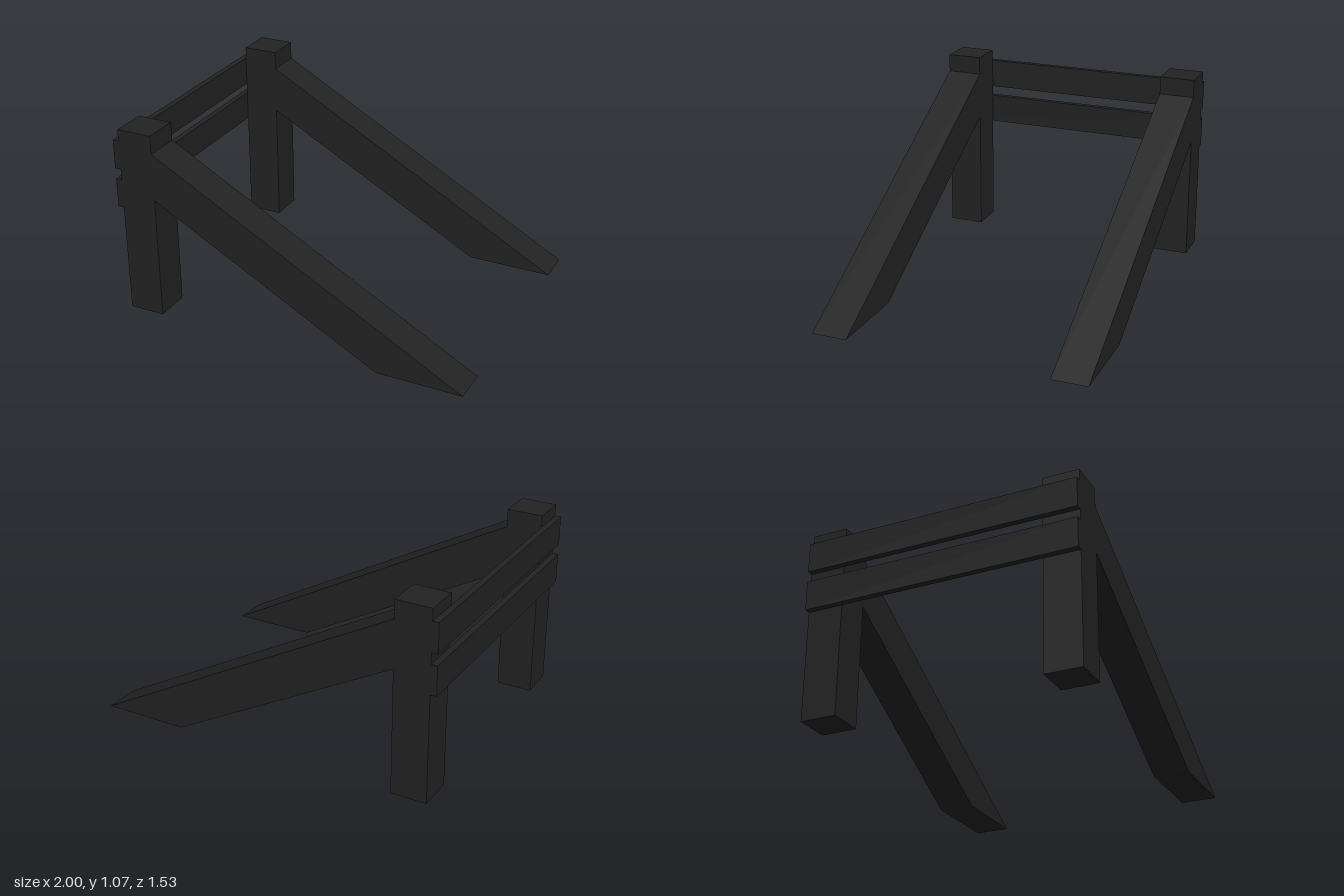
import * as THREE from 'three';

const POST = 0.2;      // square post side, also the brace thickness
const POST_X = -0.866; // post centre
const SIDE_Z = 0.666;  // centre of each side frame

export function createModel() {
  const group = new THREE.Group();
  const material = new THREE.MeshStandardMaterial({ color: 0x222222 });

  const add = (name, geometry, x, y, z) => {
    const mesh = new THREE.Mesh(geometry, material);
    mesh.name = name;
    mesh.position.set(x, y, z);
    group.add(mesh);
  };

  // Slanted brace outline: vertical cut at the post, flat cut on the ground
  const face = POST_X + POST / 2;
  const outline = new THREE.Shape([
    new THREE.Vector2(face, 0.7),
    new THREE.Vector2(0.52, 0),
    new THREE.Vector2(1, 0),
    new THREE.Vector2(face, 0.968),
  ]);
  const braceGeometry = new THREE.ExtrudeGeometry(outline, { depth: POST, bevelEnabled: false });
  braceGeometry.translate(0, 0, -POST / 2);
  const postGeometry = new THREE.BoxGeometry(POST, 1.07, POST);

  // Mirrored side frames
  for (const [side, sign] of [['front', 1], ['back', -1]]) {
    add(`${side}Post`, postGeometry, POST_X, 0.535, sign * SIDE_Z);
    add(`${side}Brace`, braceGeometry, 0, 0, sign * SIDE_Z);
  }

  // Two planks across the outer faces of the posts
  const plankGeometry = new THREE.BoxGeometry(0.034, 0.165, 2 * SIDE_Z + POST);
  add('lowerPlank', plankGeometry, -0.983, 0.697, 0);
  add('upperPlank', plankGeometry, -0.983, 0.922, 0);

  return group;
}
